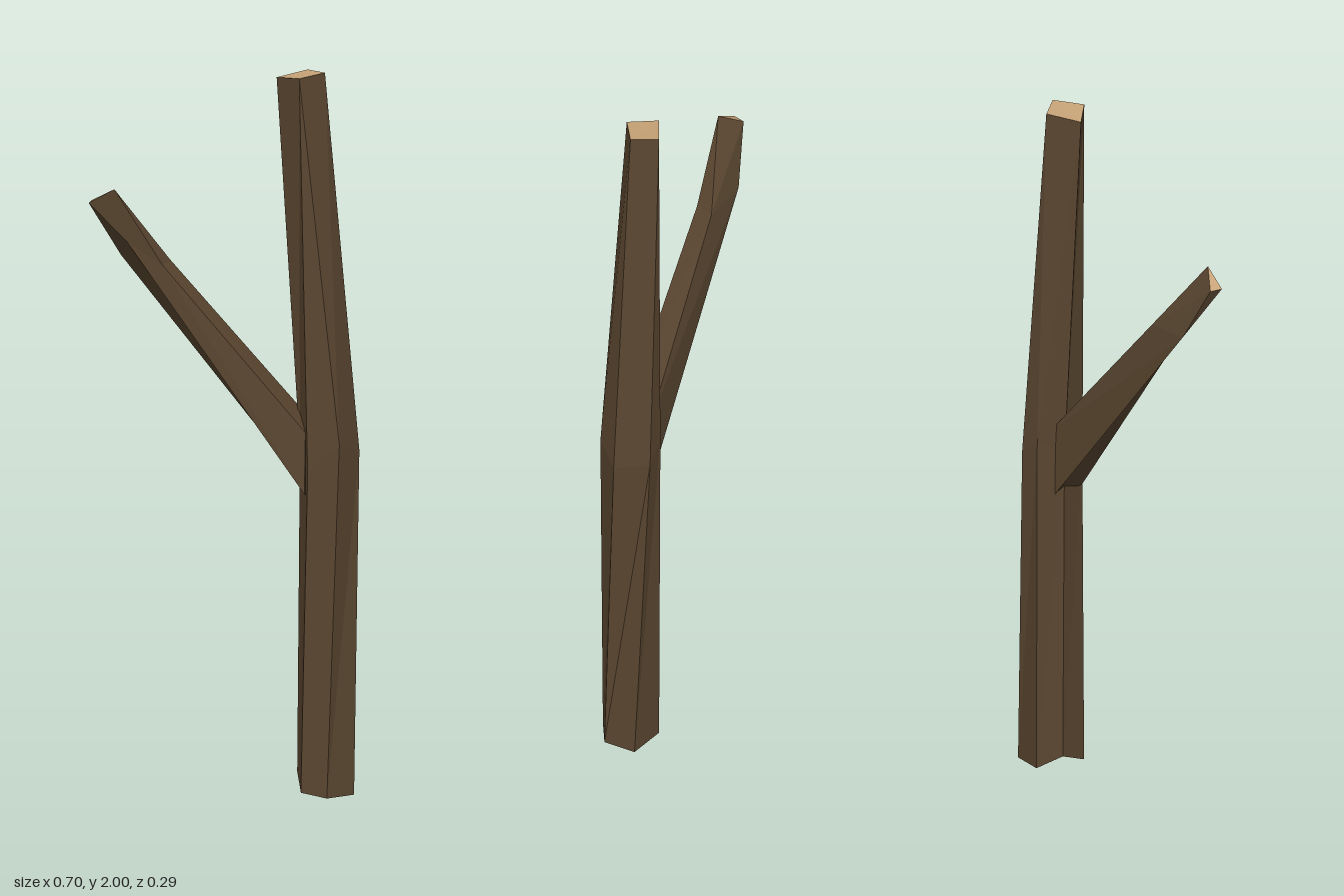
import * as THREE from 'three';

const bark = new THREE.MeshStandardMaterial({ color: 0x5a4630, flatShading: true });
const cutWood = new THREE.MeshStandardMaterial({ color: 0xc8a478, flatShading: true });

function meshFrom(name, corners, material) {
  const geometry = new THREE.BufferGeometry();
  geometry.setAttribute('position', new THREE.Float32BufferAttribute(corners.flat(), 3));
  geometry.computeVertexNormals();
  const mesh = new THREE.Mesh(geometry, material);
  mesh.name = name;
  return mesh;
}

// Fan over a ring, facing along the limb or back down it
function cap(ring, forward) {
  const out = [];
  for (let i = 1; i < ring.length - 1; i++) {
    out.push(ring[0], ...(forward ? [ring[i + 1], ring[i]] : [ring[i], ring[i + 1]]));
  }
  return out;
}

// Faceted skin through rings with equal corner counts, with a pale cut end
function limb(name, rings) {
  const skin = cap(rings[0], false);
  for (let r = 0; r < rings.length - 1; r++) {
    const a = rings[r], b = rings[r + 1];
    for (let i = 0; i < a.length; i++) {
      const j = (i + 1) % a.length;
      skin.push(a[i], b[i], a[j], a[j], b[i], b[j]);
    }
  }
  const group = new THREE.Group();
  group.name = name;
  group.add(meshFrom(name + 'Bark', skin, bark));
  group.add(meshFrom(name + 'CutEnd', cap(rings[rings.length - 1], true), cutWood));
  return group;
}

export function createModel() {
  const model = new THREE.Group();
  model.name = 'forkedBranch';

  // Trunk: six-sided foot and bend, narrowing to a four-cornered cut
  const topRight = [0.26, 2, -0.06], topFront = [0.205, 1.995, 0.008];
  const topLeft = [0.13, 1.985, -0.04], topBack = [0.2, 1.995, -0.11];
  model.add(limb('trunk', [
    [[0.345, 0, -0.045], [0.285, 0, 0.02], [0.21, 0.01, 0.01],
      [0.18, 0.05, -0.07], [0.22, 0.01, -0.13], [0.32, 0, -0.135]],
    [[0.35, 0.95, -0.085], [0.315, 0.98, 0], [0.23, 0.9, 0.015],
      [0.19, 0.95, -0.06], [0.215, 1, -0.13], [0.272, 0.95, -0.147]],
    [topRight, topFront, topFront, topLeft, topBack, topBack],
  ]));

  // Side branch: four-sided, kinked near its thin tip
  const tip = [-0.28, 1.69, 0.138];
  model.add(limb('sideBranch', [
    [[0.22, 0.81, -0.09], [0.22, 1.02, -0.09], [0.22, 1.01, 0], [0.22, 0.84, 0.01]],
    [[-0.28, 1.49, 0.06], [-0.15, 1.48, 0.035], [-0.155, 1.475, 0.095], [-0.25, 1.54, 0.115]],
    [[-0.35, 1.65, 0.11], tip, tip, [-0.35, 1.65, 0.145]],
  ]));

  return model;
}
